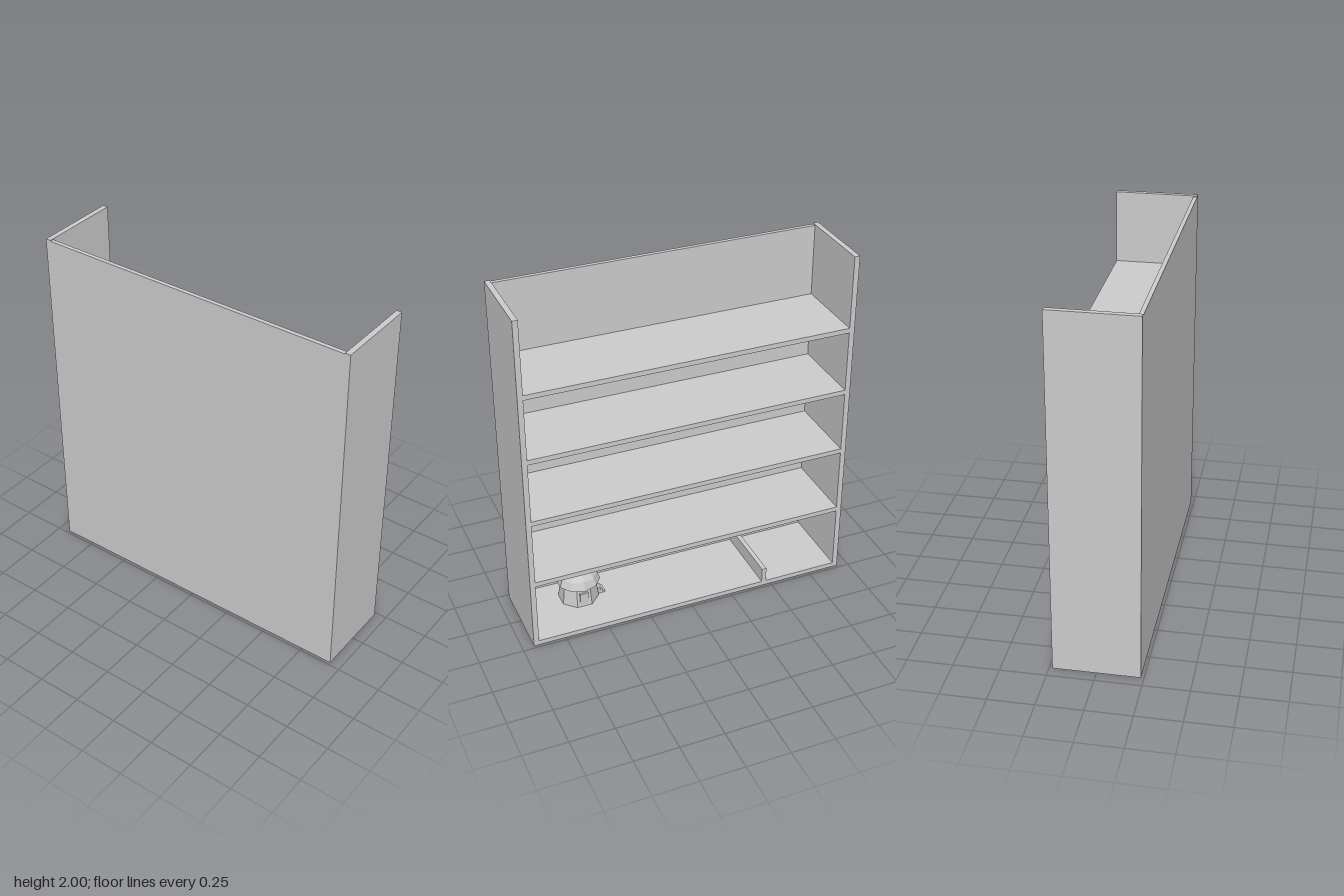
import * as THREE from 'three';

export function createModel() {
  const model = new THREE.Group();
  model.name = 'shelfUnit';
  const mat = new THREE.MeshStandardMaterial({ color: 0xcccccc, flatShading: true });
  const shellMat = new THREE.MeshStandardMaterial({ color: 0xcccccc, flatShading: true, side: THREE.DoubleSide });

  // Box given by its lower and upper corners
  function box(name, [x0, y0, z0], [x1, y1, z1], parent = model) {
    const mesh = new THREE.Mesh(new THREE.BoxGeometry(x1 - x0, y1 - y0, z1 - z0), mat);
    mesh.position.set((x0 + x1) / 2, (y0 + y1) / 2, (z0 + z1) / 2);
    mesh.name = name;
    parent.add(mesh);
    return mesh;
  }

  const X = 0.233, Z = 0.935, T = 0.03, backX = -0.21;

  // Cabinet, open toward +x
  box('backPanel', [-X, 0, -Z + T], [backX, 1.995, Z - T]);
  for (const s of [-1, 1]) {
    const inner = s * (Z - T), outer = s * Z;
    box('sidePanel', [-X, 0, Math.min(inner, outer)], [X, 2, Math.max(inner, outer)]);
  }
  for (const y of [0, 0.4, 0.797, 1.177, 1.557]) {
    box(y === 0 ? 'basePanel' : 'shelf', [backX, y, -Z + T], [X, y + 0.028, Z - T]);
  }

  // Low divider on the bottom shelf
  box('divider', [backX, 0.028, -0.471], [X, 0.115, -0.444]);

  // Small domed hut on the bottom shelf
  const hut = new THREE.Group();
  hut.name = 'hut';
  hut.position.set(-0.06, 0.028, 0.573);
  model.add(hut);

  const walls = new THREE.Mesh(new THREE.CylinderGeometry(0.1, 0.115, 0.122, 8), mat);
  walls.name = 'hutWalls';
  walls.position.y = 0.061;
  walls.rotation.y = Math.PI / 8;
  hut.add(walls);

  // Faceted roof shell overhanging the walls
  const profile = [[0.125, 0.117], [0.108, 0.165], [0.077, 0.203], [0.038, 0.222], [0, 0.227]]
    .map(([r, y]) => new THREE.Vector2(r, y));
  const roof = new THREE.Mesh(new THREE.LatheGeometry(profile, 10), shellMat);
  roof.name = 'hutRoof';
  roof.rotation.y = Math.PI / 10;
  hut.add(roof);

  // Door frame on the open side
  box('hutDoor', [0.085, 0.012, -0.025], [0.108, 0.087, 0.025], hut);

  // Steps leading away along the shelf
  for (let i = 0; i < 3; i++) {
    box('hutStep', [-0.03, 0, -0.15 + i * 0.014], [0.03, 0.012 * (i + 1), -0.1], hut);
  }

  return model;
}
